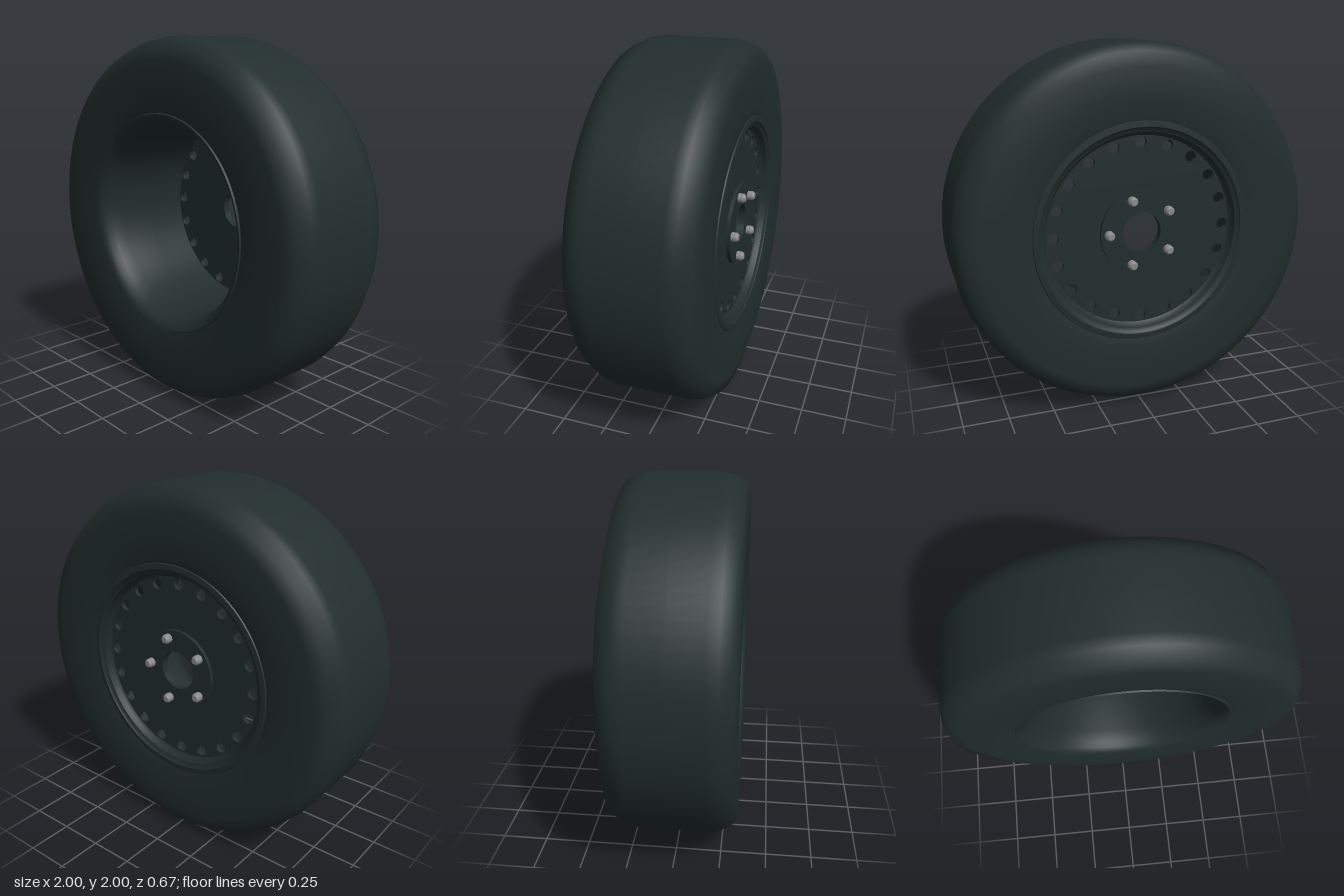
import * as THREE from 'three';
import { toCreasedNormals } from 'three/addons/utils/BufferGeometryUtils.js';

const dark = new THREE.MeshStandardMaterial({ color: 0x222d2d });
dark.name = 'dark rubber and steel';
const steel = new THREE.MeshStandardMaterial({ color: 0x8a8a8a });
steel.name = 'bolt grey';

function add(group, name, geometry, material) {
  const mesh = new THREE.Mesh(geometry, material);
  mesh.name = name;
  group.add(mesh);
  return mesh;
}

// Turn a [radius, z] profile around the z axis
function turned(profile, crease) {
  const points = profile.map(([r, z]) => new THREE.Vector2(r, z));
  const geometry = new THREE.LatheGeometry(points, 96).rotateX(Math.PI / 2);
  return crease ? toCreasedNormals(geometry, crease) : geometry;
}

function circlePath(x, y, r) {
  return new THREE.Path().absarc(x, y, r, 0, Math.PI * 2, true);
}

// Flat round plate between two depths, with holes given as [x, y, r]
function plate(radius, zBack, zFront, holes) {
  const shape = new THREE.Shape().absarc(0, 0, radius, 0, Math.PI * 2, false);
  holes.forEach(([x, y, r]) => shape.holes.push(circlePath(x, y, r)));
  const geometry = new THREE.ExtrudeGeometry(shape, {
    depth: zFront - zBack, bevelEnabled: false, curveSegments: 32,
  });
  return toCreasedNormals(geometry.translate(0, 0, zBack), 0.6);
}

export function createModel() {
  const model = new THREE.Group();
  model.name = 'wheel';
  const wheel = new THREE.Group();
  wheel.name = 'wheelAssembly';
  wheel.position.y = 1;
  model.add(wheel);

  // Tyre: sidewalls, rounded shoulders and flat tread
  const half = [[0.595, 0.318], [0.65, 0.33], [0.75, 0.335], [0.88, 0.335],
    [0.953, 0.315], [0.99, 0.245], [1, 0.19]];
  const back = half.map(([r, z]) => [r, -z]);
  add(wheel, 'tyre', turned([...back, [1, 0], ...half.slice().reverse()]), dark);

  // Rim: front lip, deep barrel and shallow rear lip
  add(wheel, 'rim', turned([
    [0.605, 0.318], [0.598, 0.328], [0.582, 0.322], [0.562, 0.3], [0.545, 0.265],
    [0.532, 0.2], [0.522, 0], [0.52, -0.27], [0.538, -0.285], [0.545, -0.312],
    [0.565, -0.318], [0.572, -0.328], [0.6, -0.326], [0.605, -0.318],
  ], 0.7), dark);

  // Wheel disc with a ring of vent holes
  const holes = [[0, 0, 0.108]];
  for (let i = 0; i < 20; i++) {
    const a = (i / 20) * Math.PI * 2;
    holes.push([Math.cos(a) * 0.484, Math.sin(a) * 0.484, 0.031]);
  }
  add(wheel, 'disc', plate(0.525, -0.272, -0.25, holes), dark);

  // Raised hub plate on the back
  add(wheel, 'hubPlate', plate(0.23, -0.292, -0.27, [[0, 0, 0.108]]), dark);

  // Five bolts, each a shank with a chamfered tip
  for (let i = 0; i < 5; i++) {
    const a = (i / 5) * Math.PI * 2;
    const bolt = new THREE.Group();
    bolt.name = 'bolt' + (i + 1);
    bolt.position.set(Math.cos(a) * 0.186, Math.sin(a) * 0.186, -0.29);
    const shank = new THREE.CylinderGeometry(0.026, 0.026, 0.03, 12);
    add(bolt, 'shank', shank.rotateX(-Math.PI / 2), steel).position.z = -0.015;
    const tip = new THREE.CylinderGeometry(0.017, 0.026, 0.012, 12);
    add(bolt, 'tip', tip.rotateX(-Math.PI / 2), steel).position.z = -0.036;
    wheel.add(bolt);
  }
  return model;
}
